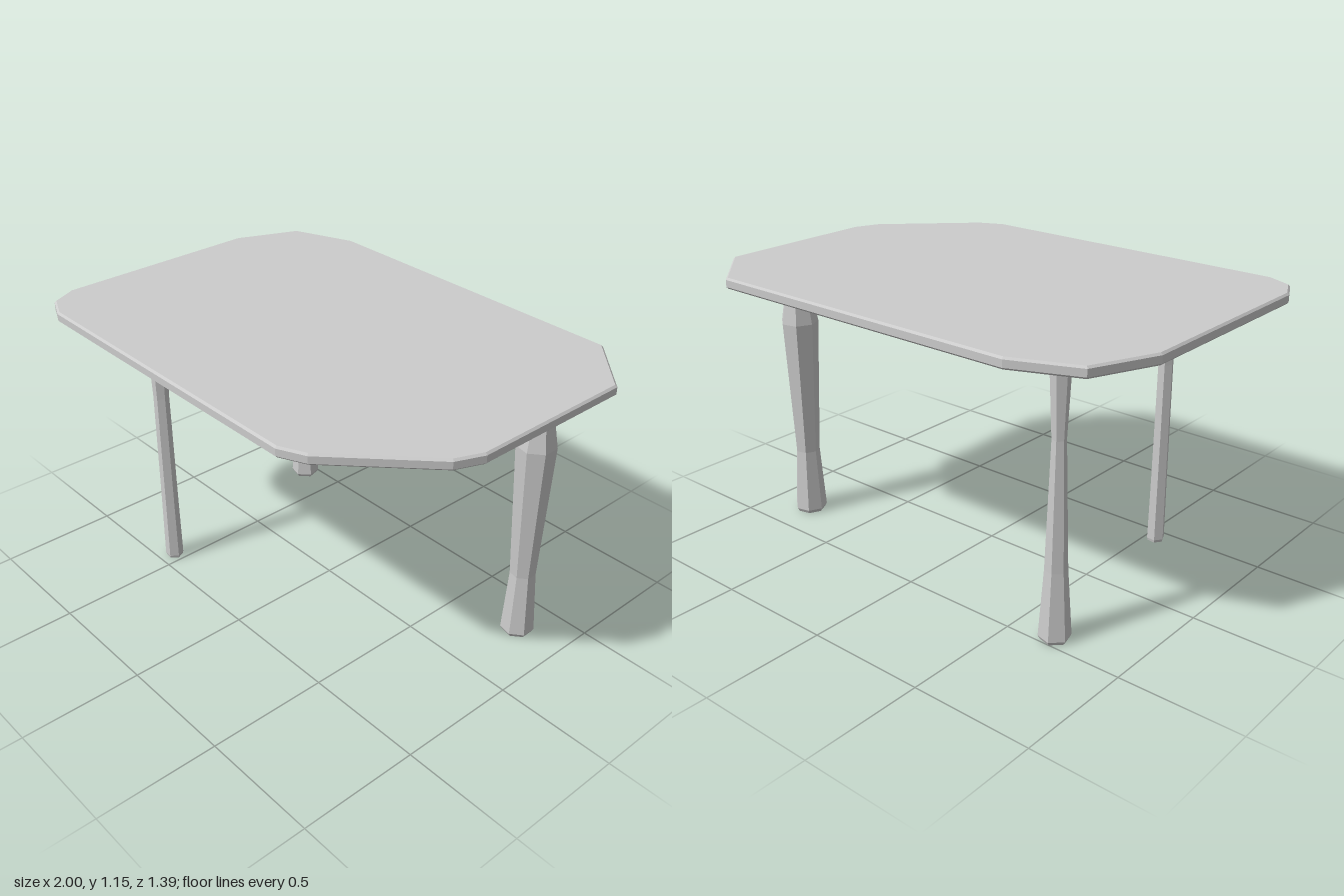
import * as THREE from 'three';

const material = new THREE.MeshStandardMaterial({ color: 0xcccccc, flatShading: true });

// Faceted turned leg: profile holds [radius, height] pairs, phase turns the facets
function makeLeg(name, x, z, sides, phase, profile) {
  const points = profile.map(([r, y]) => new THREE.Vector2(r, y));
  const leg = new THREE.Mesh(new THREE.LatheGeometry(points, sides, phase), material);
  leg.name = name;
  leg.position.set(x, 0, z);
  return leg;
}

// Slab with irregular cut corners and a small bevel around the rim
function makeTop() {
  const outline = [
    [-1, -0.33], [-0.89, -0.59], [-0.63, -0.695], [0.77, -0.695],
    [1, -0.475], [1, 0.21], [0.955, 0.32], [0.62, 0.645],
    [0.515, 0.693], [-0.845, 0.693], [-0.95, 0.645], [-1, 0.54],
  ];
  const bevel = 0.008;
  const shape = new THREE.Shape(outline.map(([x, z]) => new THREE.Vector2(x, -z)));
  const geometry = new THREE.ExtrudeGeometry(shape, {
    depth: 0.045 - 2 * bevel, bevelThickness: bevel,
    bevelSize: bevel, bevelOffset: -bevel, bevelSegments: 1,
  });
  geometry.rotateX(-Math.PI / 2);
  geometry.translate(0, 1.11 + bevel, 0);
  const top = new THREE.Mesh(geometry, material);
  top.name = 'tableTop';
  return top;
}

export function createModel() {
  const group = new THREE.Group();
  group.name = 'table';
  group.add(
    makeTop(),
    // Thick baluster leg
    makeLeg('thickLeg', 0.795, -0.318, 7, 0.23, [
      [0, 0], [0.06, 0], [0.069, 0.016], [0.052, 0.29],
      [0.079, 0.88], [0.047, 1.055], [0.069, 1.112], [0, 1.112],
    ]),
    // Leg flaring towards the foot
    makeLeg('flaredLeg', -0.68, -0.446, 6, 0.26, [
      [0, 0], [0.056, 0], [0.063, 0.014], [0.044, 0.29],
      [0.027, 0.8], [0.041, 1.112], [0, 1.112],
    ]),
    // Slim, nearly straight leg
    makeLeg('slimLeg', -0.55, 0.432, 6, 0.42, [
      [0, 0], [0.035, 0], [0.038, 0.012], [0.035, 0.29],
      [0.032, 0.8], [0.039, 1.05], [0.039, 1.112], [0, 1.112],
    ]),
  );
  return group;
}
